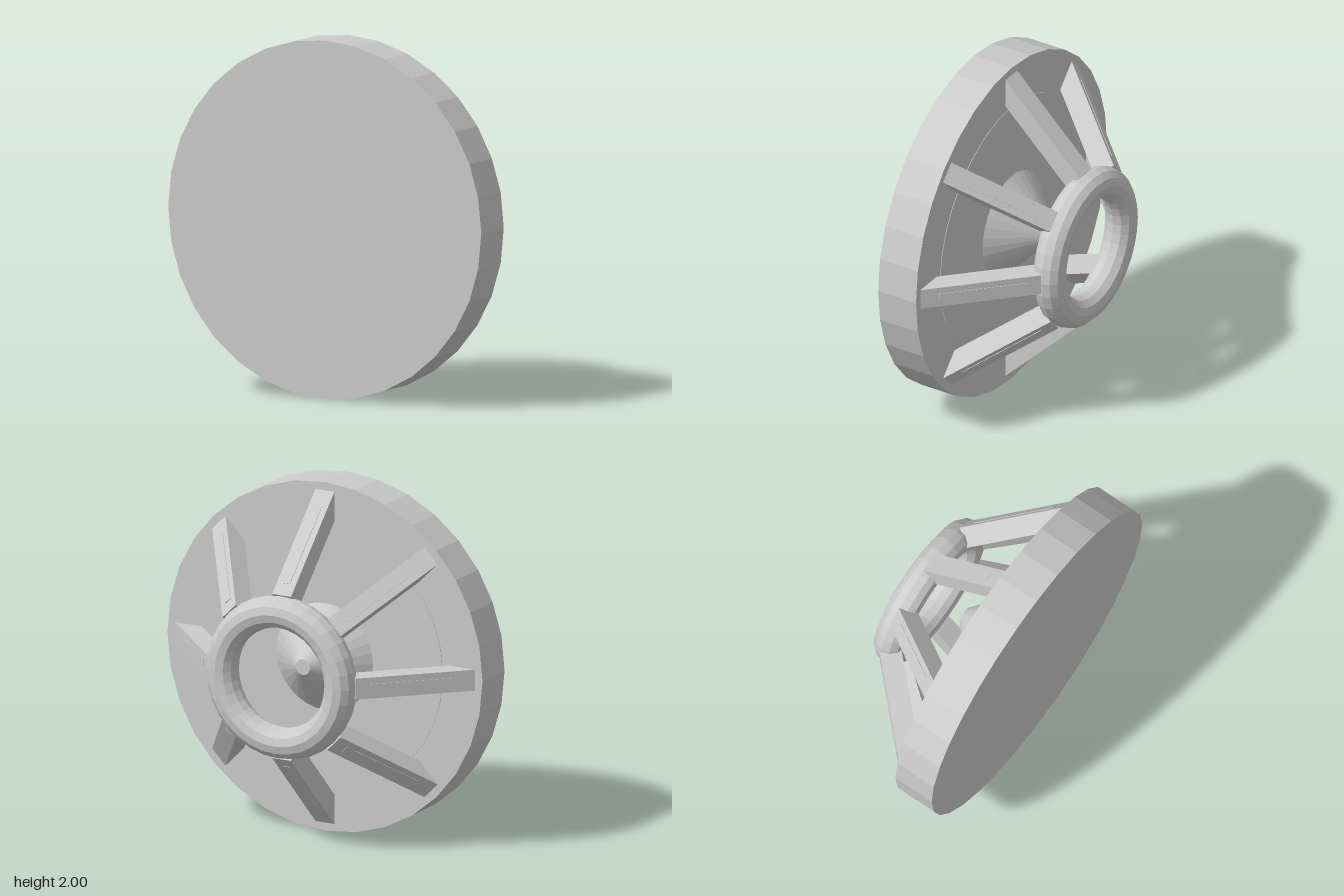
import * as THREE from 'three';

export function createModel() {
  const model = new THREE.Group();
  model.name = 'strutDish';
  const mat = new THREE.MeshStandardMaterial({ color: 0xcccccc, flatShading: true });

  // Everything is built around the z axis, then raised to stand on the ground
  const body = new THREE.Group();
  body.name = 'body';
  body.position.y = 1;
  model.add(body);

  const add = (parent, name, geometry, x = 0, y = 0, z = 0) => {
    const mesh = new THREE.Mesh(geometry, mat);
    mesh.name = name;
    mesh.position.set(x, y, z);
    parent.add(mesh);
    return mesh;
  };
  // Cylinder along z, given the radii and z of its front and back ends
  const round = (name, rFront, rBack, zFront, zBack, sides = 32) =>
    add(body, name, new THREE.CylinderGeometry(rFront, rBack, zFront - zBack, sides).rotateX(Math.PI / 2),
      0, 0, (zFront + zBack) / 2);

  // Front disc, shallow plate on its back and central cone with a blunt tip
  round('disc', 1, 1, 0.408, 0.163);
  round('backPlate', 0.75, 0.75, 0.2, 0.16);
  round('centreCone', 0.31, 0.045, 0.163, -0.083);

  // Rear ring
  add(body, 'rearRing', new THREE.TorusGeometry(0.375, 0.09, 12, 32), 0, 0, -0.318);

  // Eight square struts leaning in from the disc to the ring, each with a raised strip
  const inner = new THREE.Vector2(0.428, -0.277); // radius, z
  const outer = new THREE.Vector2(0.925, 0.22);
  const run = outer.clone().sub(inner);
  const mid = inner.clone().add(outer).multiplyScalar(0.5);
  for (let i = 0; i < 8; i++) {
    const spoke = new THREE.Group();
    spoke.name = 'spoke' + (i + 1);
    spoke.rotation.z = (i * Math.PI) / 4;
    body.add(spoke);

    const strut = new THREE.Group();
    strut.name = 'strut';
    strut.position.set(0, mid.x, mid.y);
    strut.rotation.x = Math.atan2(run.y, run.x);
    spoke.add(strut);
    // Local y runs along the strut, local -z faces outward
    add(strut, 'strutBar', new THREE.BoxGeometry(0.12, run.length(), 0.12));
    add(strut, 'strutStrip', new THREE.BoxGeometry(0.045, 0.5, 0.02), 0, -0.025, -0.053);
  }
  return model;
}
